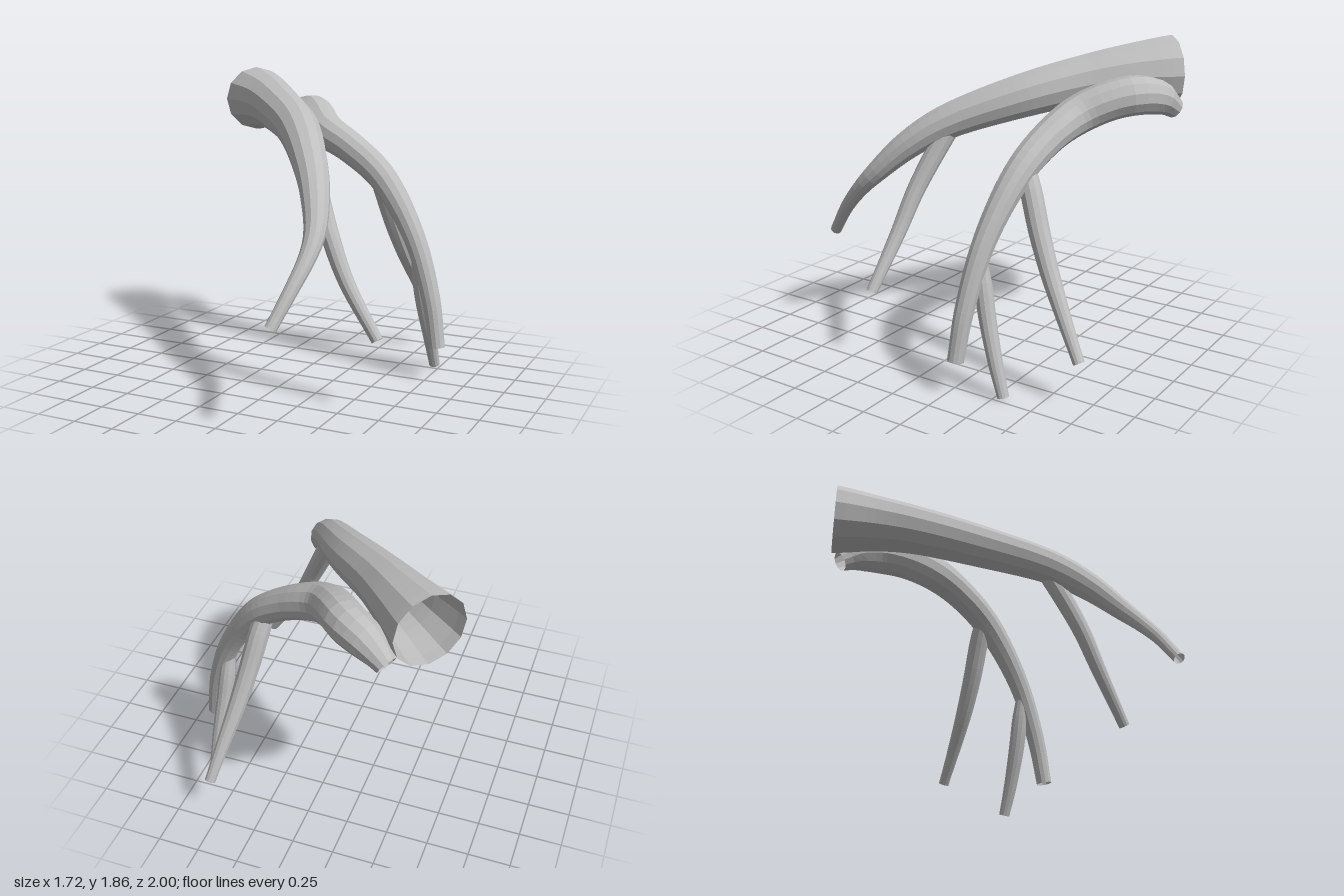
import * as THREE from 'three';

const RADIAL = 12;

// Open, tapering limb swept through knots of [x, y, z, radius]
function taperedLimb(name, knots, segments, material) {
  const path = new THREE.CatmullRomCurve3(knots.map(([x, y, z]) => new THREE.Vector3(x, y, z)));
  const taper = new THREE.SplineCurve(knots.map((k, i) => new THREE.Vector2(i, k[3])));
  const geometry = new THREE.TubeGeometry(path, segments, 1, RADIAL, false);
  const pos = geometry.attributes.position;
  const v = new THREE.Vector3();
  for (let i = 0; i <= segments; i++) {
    const u = i / segments;
    const centre = path.getPointAt(u);
    const radius = taper.getPoint(path.getUtoTmapping(u)).y;
    for (let j = 0; j <= RADIAL; j++) {
      const n = i * (RADIAL + 1) + j;
      v.fromBufferAttribute(pos, n).sub(centre).multiplyScalar(radius).add(centre);
      pos.setXYZ(n, v.x, v.y, v.z);
    }
  }
  geometry.computeVertexNormals();
  const mesh = new THREE.Mesh(geometry, material);
  mesh.name = name;
  return mesh;
}

export function createModel() {
  const group = new THREE.Group();
  group.name = 'branchingTubes';
  const grey = new THREE.MeshStandardMaterial({
    name: 'paleGrey', color: 0xbebebe, flatShading: true, side: THREE.DoubleSide,
  });

  const limbs = {
    // Thick trunk, wide at the back and narrowing to the front
    mainTrunk: [
      [-0.715, 1.645, -0.825, 0.212], [-0.52, 1.64, -0.64, 0.175], [-0.35, 1.61, -0.46, 0.152],
      [-0.07, 1.52, -0.16, 0.132], [0.19, 1.36, 0.21, 0.105], [0.31, 1.22, 0.4, 0.086],
      [0.395, 1.04, 0.58, 0.063], [0.405, 0.93, 0.69, 0.05], [0.38, 0.79, 0.82, 0.041],
      [0.325, 0.595, 0.97, 0.035],
    ],
    // Second trunk, with a swelling near its root
    sideTrunk: [
      [-0.53, 1.46, -0.94, 0.062], [-0.42, 1.535, -0.89, 0.1], [-0.28, 1.565, -0.81, 0.115],
      [-0.18, 1.54, -0.7, 0.115], [-0.06, 1.47, -0.57, 0.113], [0.135, 1.38, -0.5, 0.1],
      [0.38, 1.21, -0.44, 0.088], [0.62, 0.87, -0.37, 0.068], [0.755, 0.5, -0.325, 0.057],
      [0.81, 0.205, -0.3, 0.049],
    ],
    // Offshoot of the main trunk
    mainOffshoot: [
      [0.2, 1.31, 0.18, 0.06], [0.25, 1.2, 0.225, 0.06], [0.36, 0.97, 0.3, 0.054],
      [0.48, 0.73, 0.345, 0.046], [0.69, 0.42, 0.385, 0.034],
    ],
    // Offshoots of the side trunk
    upperSideOffshoot: [
      [0.34, 1.24, -0.45, 0.055], [0.37, 1.1, -0.51, 0.062], [0.41, 0.89, -0.59, 0.06],
      [0.455, 0.675, -0.69, 0.053], [0.505, 0.46, -0.81, 0.042], [0.55, 0.25, -0.93, 0.033],
    ],
    lowerSideOffshoot: [
      [0.65, 0.75, -0.36, 0.04], [0.66, 0.62, -0.385, 0.05], [0.675, 0.45, -0.42, 0.05],
      [0.7, 0.2, -0.49, 0.042], [0.713, 0.012, -0.55, 0.034],
    ],
  };

  for (const [name, knots] of Object.entries(limbs)) {
    group.add(taperedLimb(name, knots, knots.length * 4, grey));
  }
  return group;
}
